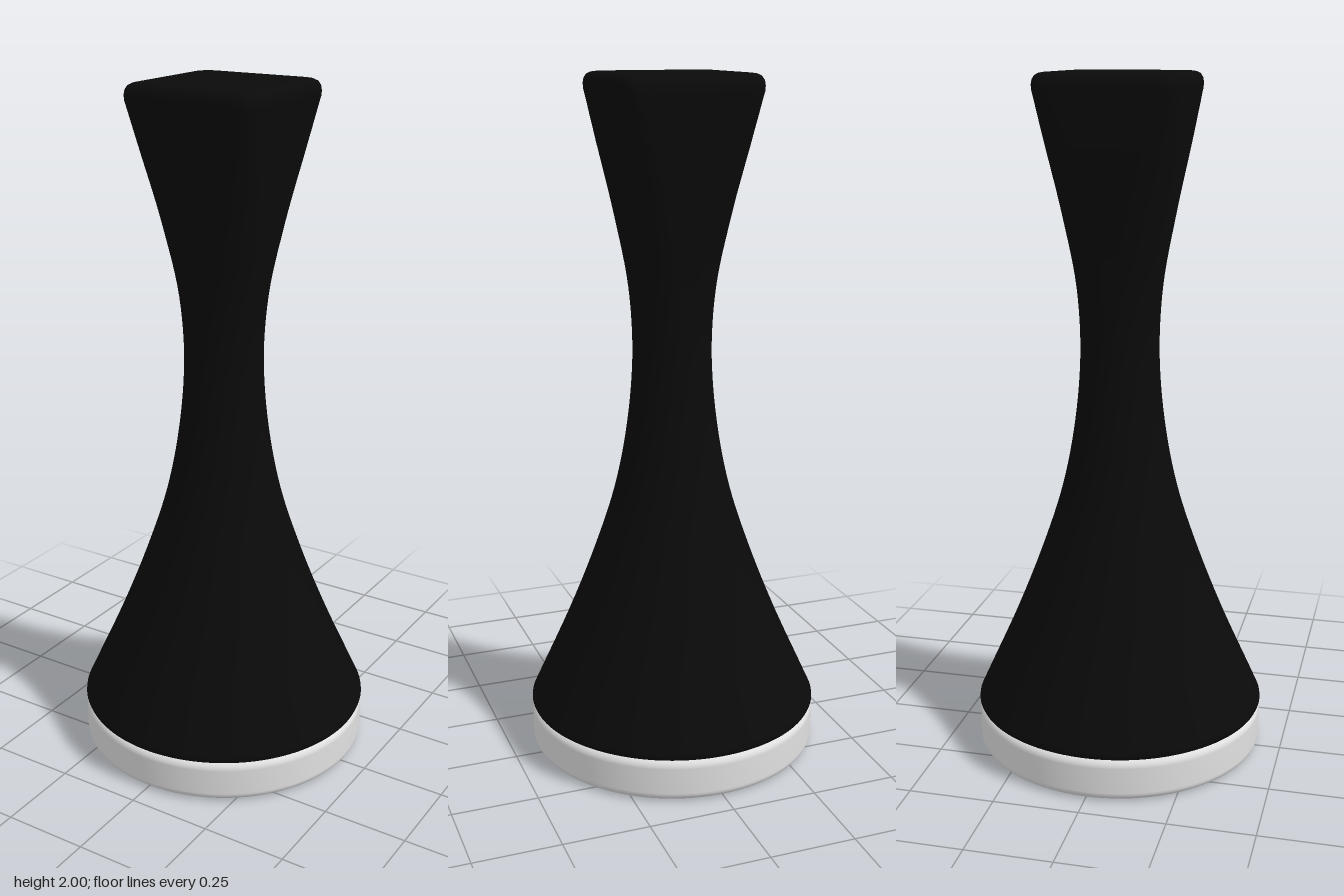
import * as THREE from 'three';

const SEGMENTS = 160;

// Distance from the axis to a rounded square (half width w, corner radius r) at an angle
function roundedSquare(angle, w, r) {
  const x = Math.abs(Math.cos(angle)), z = Math.abs(Math.sin(angle));
  const c = w - r, big = Math.max(x, z), small = Math.min(x, z);
  if (w * small / big <= c) return w / big;
  const b = c * (x + z);
  return b + Math.sqrt(Math.max(0, b * b - 2 * c * c + r * r));
}

// Lofts rings of [half width, height]; the section turns from round to square above the neck
function loftBody(rings) {
  const positions = [], index = [];
  for (const [w, y] of rings) {
    const t = THREE.MathUtils.clamp((y - 1.2) / 0.75, 0, 1);
    const r = w * (1 - 0.8 * Math.pow(t, 1.4));
    for (let j = 0; j < SEGMENTS; j++) {
      const a = (j / SEGMENTS) * Math.PI * 2;
      const d = roundedSquare(a, w, r);
      positions.push(Math.cos(a) * d, y, Math.sin(a) * d);
    }
  }
  for (let i = 0; i < rings.length - 1; i++) {
    for (let j = 0; j < SEGMENTS; j++) {
      const k = (j + 1) % SEGMENTS;
      const a = i * SEGMENTS + j, b = i * SEGMENTS + k;
      index.push(a, a + SEGMENTS, b, b, a + SEGMENTS, b + SEGMENTS);
    }
  }
  // Closed top
  const last = (rings.length - 1) * SEGMENTS, centre = positions.length / 3;
  positions.push(0, 2, 0);
  for (let j = 0; j < SEGMENTS; j++) {
    index.push(last + j, centre, last + (j + 1) % SEGMENTS);
  }
  const geometry = new THREE.BufferGeometry();
  geometry.setAttribute('position', new THREE.Float32BufferAttribute(positions, 3));
  geometry.setIndex(index);
  geometry.computeVertexNormals();
  return geometry;
}

export function createModel() {
  const model = new THREE.Group();
  model.name = 'grinder';
  const black = new THREE.MeshStandardMaterial({ color: 0x0a0a0a });
  black.name = 'black';
  const lightGrey = new THREE.MeshStandardMaterial({ color: 0xe0e0e0 });
  lightGrey.name = 'light grey';

  // Waisted body: flared round foot, narrow neck, square head
  const side = new THREE.SplineCurve([
    [0.43, 0.145], [0.405, 0.2], [0.315, 0.4], [0.236, 0.6], [0.171, 0.8], [0.132, 1],
    [0.115, 1.2], [0.121, 1.4], [0.15, 1.6], [0.183, 1.8], [0.204, 1.95],
  ].map(([x, y]) => new THREE.Vector2(x, y))).getPoints(60).map((p) => [p.x, p.y]);
  const foot = [[0.3, 0.125], [0.42, 0.125], [0.428, 0.13], [0.431, 0.137]];
  const crown = [[0.205, 1.965], [0.203, 1.979], [0.197, 1.99], [0.187, 1.996], [0.175, 1.998], [0.15, 1.999], [0.1, 2]];
  const body = new THREE.Mesh(loftBody([...foot, ...side, ...crown]), black);
  body.name = 'body';
  model.add(body);

  // Round base disc with softened edges
  const R = 0.43, H = 0.127, bevel = 0.025;
  const profile = [new THREE.Vector2(0, 0), new THREE.Vector2(R - bevel - 0.01, 0)];
  for (const [cy, start] of [[bevel, -Math.PI / 2], [H - bevel, 0]]) {
    for (let i = 0; i <= 6; i++) {
      const a = start + (i / 6) * Math.PI / 2;
      profile.push(new THREE.Vector2(R - bevel + bevel * Math.cos(a), cy + bevel * Math.sin(a)));
    }
  }
  profile.push(new THREE.Vector2(R - bevel - 0.01, H), new THREE.Vector2(0, H));
  const base = new THREE.Mesh(new THREE.LatheGeometry(profile, 96), lightGrey);
  base.name = 'base';
  model.add(base);

  return model;
}
